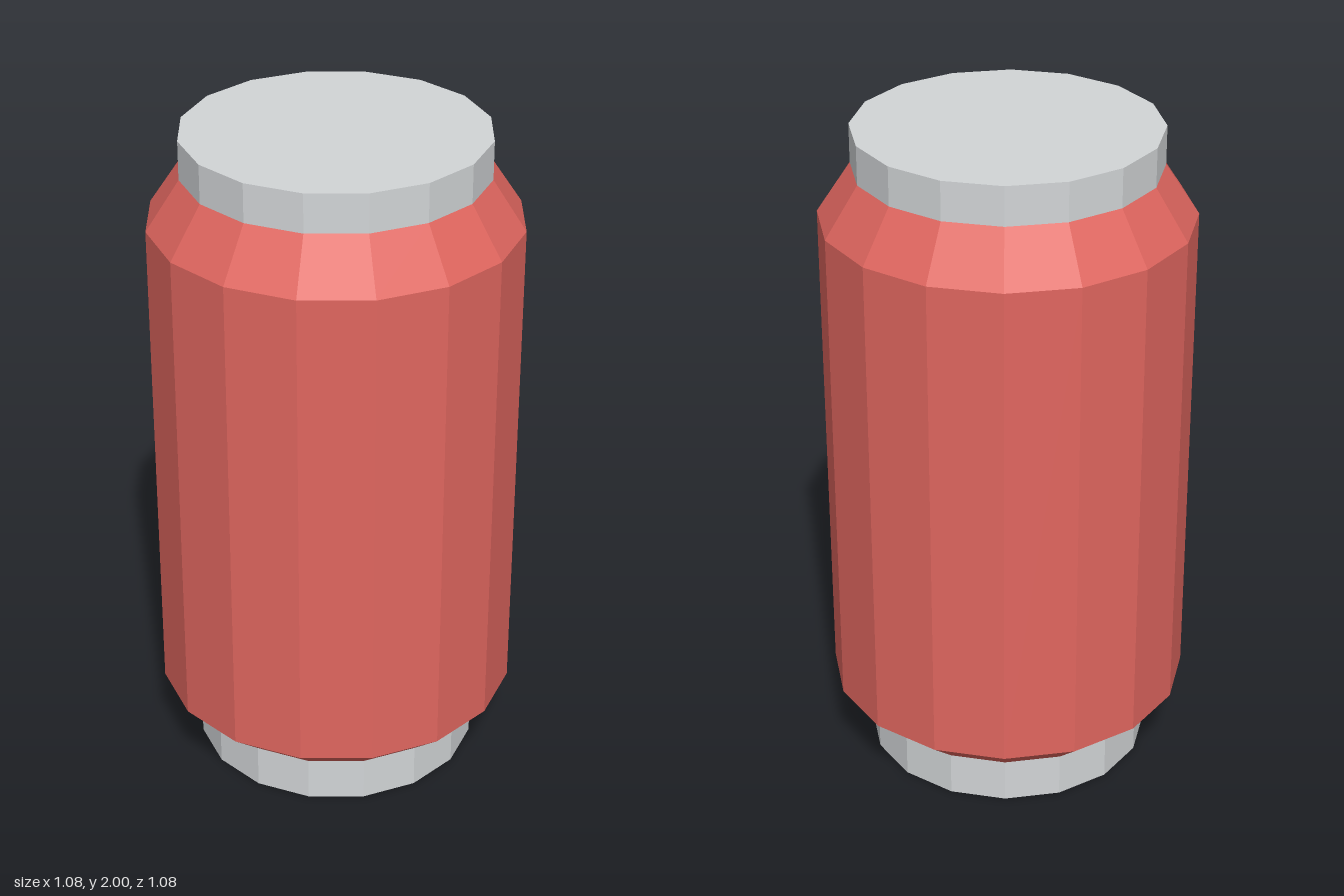
import * as THREE from 'three';

const SIDES = 16;

export function createModel() {
  const can = new THREE.Group();
  can.name = 'drinkCan';

  const red = new THREE.MeshStandardMaterial({ color: 0xe0665f, flatShading: true });
  red.name = 'red paint';
  const metal = new THREE.MeshStandardMaterial({ color: 0xd2d5d7, flatShading: true });
  metal.name = 'light metal';

  // Faceted ring from y0 to y1; closed rings get flat end caps.
  function ring(name, material, y0, y1, r0, r1, closed) {
    const geometry = new THREE.CylinderGeometry(r1, r0, y1 - y0, SIDES, 1, !closed);
    const mesh = new THREE.Mesh(geometry, material);
    mesh.name = name;
    mesh.position.y = (y0 + y1) / 2;
    can.add(mesh);
  }

  // Metal ends
  ring('baseRim', metal, 0, 0.135, 0.427, 0.427, true);
  ring('lid', metal, 1.885, 2, 0.442, 0.442, true);

  // Painted shell with tapered foot and shoulder
  ring('lowerTaper', red, 0.135, 0.232, 0.427, 0.54, false);
  ring('body', red, 0.232, 1.737, 0.54, 0.54, false);
  ring('shoulder', red, 1.737, 1.885, 0.54, 0.442, false);

  return can;
}
